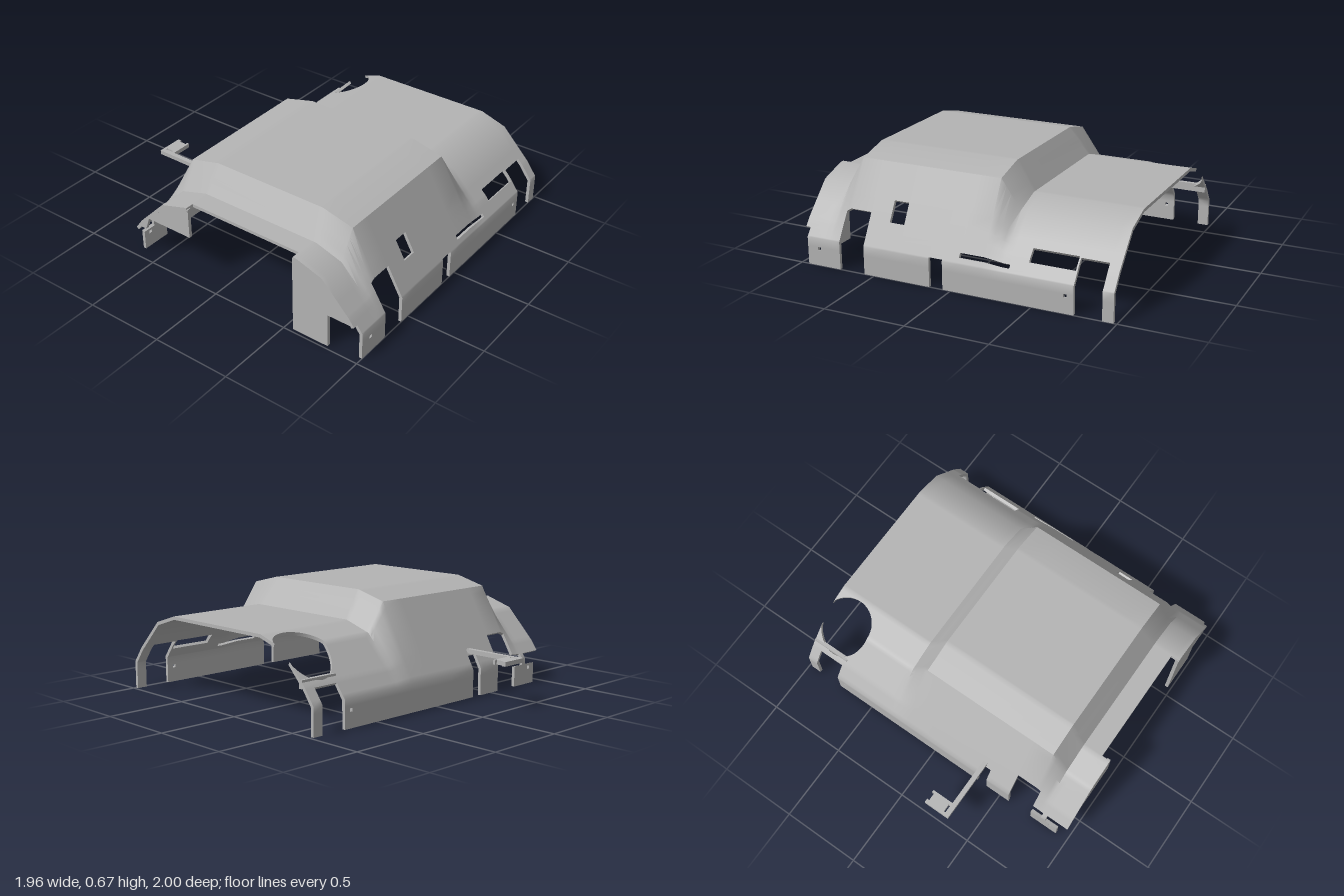
import * as THREE from 'three';
import { toCreasedNormals } from 'three/addons/utils/BufferGeometryUtils.js';

// Section coordinate u: 0..1.65 is depth from the front (1 - z); below and above it run down the two walls
const KNOTS = [-0.17, 0, 0.07, 0.25, 0.43, 1.21, 1.4, 1.58, 1.65, 1.82];
// Cross-sections as [z, y], one point per knot
const LOW = [[1, 0], [1, 0.17], [0.93, 0.265], [0.75, 0.45], [0.58, 0.505], [-0.22, 0.505], [-0.4, 0.45], [-0.58, 0.265], [-0.65, 0.17], [-0.65, 0]];
const LOW_IN = [[0.98, 0], [0.98, 0.162], [0.916, 0.25], [0.74, 0.432], [0.576, 0.485], [-0.216, 0.485], [-0.39, 0.432], [-0.566, 0.25], [-0.63, 0.162], [-0.63, 0]];
const HIGH = [[1, 0], [1, 0.17], [0.93, 0.296], [0.75, 0.62], [0.55, 0.67], [-0.2, 0.67], [-0.4, 0.62], [-0.58, 0.296], [-0.65, 0.17], [-0.65, 0]];
const HIGH_IN = [[0.98, 0], [0.98, 0.165], [0.912, 0.286], [0.737, 0.602], [0.548, 0.65], [-0.198, 0.65], [-0.387, 0.602], [-0.562, 0.286], [-0.63, 0.165], [-0.63, 0]];

// Rectangular openings: x0, x1, u0, u1
const CUTS = [
  [-0.73, -0.565, -0.17, 0.1], [0.75, 0.915, -0.17, 0.1], // front notches
  [-0.135, -0.05, -0.17, 0.005], [-0.98, -0.95, -0.17, 0.035],
  [-0.43, -0.335, 0.08, 0.143], // front window
  [0.05, 0.36, 0.018, 0.032], [0.465, 0.74, 0.05, 0.105], // front slots
  [-0.98, -0.925, 0.455, 1.2], // side recess
  [-0.73, -0.565, 1.555, 1.82], [-0.4, -0.33, 1.605, 1.82], [0.75, 0.915, 1.588, 1.82], // back notches
  [-0.98, -0.92, 1.63, 1.82], [-0.92, -0.835, 1.63, 1.69], [-0.805, -0.73, 1.63, 1.69], // around the hanging tab
  [0.75, 0.915, 1.235, 1.565], // round opening, see warp()
];
for (const x of [-0.87, 0.7]) for (const u of [-0.065, 1.715]) // screw holes
  CUTS.push([x - 0.01, x + 0.01, u - 0.01, u + 0.01]);

const CIRCLE = { x: 0.835, u: 1.4, r: 0.165 };

function sample(profile, u) {
  let i = 0;
  while (i < KNOTS.length - 2 && u > KNOTS[i + 1]) i++;
  const t = (u - KNOTS[i]) / (KNOTS[i + 1] - KNOTS[i]);
  return [0, 1].map(k => profile[i][k] + (profile[i + 1][k] - profile[i][k]) * t);
}

function surfacePoint([x, u], inner) {
  const h = THREE.MathUtils.clamp(Math.min((x + 0.8) / 0.1, (0.32 - x) / 0.12), 0, 1);
  const a = sample(inner ? LOW_IN : LOW, u), b = sample(inner ? HIGH_IN : HIGH, u);
  return [x, a[1] + (b[1] - a[1]) * h, a[0] + (b[0] - a[0]) * h];
}

// Pulls the grid columns onto the rim of the round opening
function warp(x, u) {
  const d = Math.abs(u - CIRCLE.u);
  if (x < 0.4 || d > CIRCLE.r + 1e-6) return [x, u];
  const w = Math.sqrt(Math.max(0, CIRCLE.r ** 2 - d * d));
  if (x === 0.75) return [CIRCLE.x - w, u];
  return [x < 0.75 ? Math.min(x, CIRCLE.x - w) : x < 0.95 ? Math.min(0.98, CIRCLE.x + w) : x, u];
}

const uniqueSorted = list => [...new Set(list.map(v => +v.toFixed(4)))].sort((a, b) => a - b);

function shellGeometry() {
  const cols = uniqueSorted([-0.98, -0.8, -0.775, -0.75, -0.725, -0.7, 0.2, 0.23, 0.26, 0.29, 0.32, 0.98, ...CUTS.flatMap(c => [c[0], c[1]])]);
  const rim = Array.from({ length: 25 }, (_, i) => CIRCLE.u - CIRCLE.r * Math.cos(i * Math.PI / 24));
  const rows = uniqueSorted([...KNOTS, ...rim, ...CUTS.flatMap(c => [c[2], c[3]])]);
  const key = p => p[0].toFixed(4) + ',' + p[1].toFixed(4);
  const tris = [], edges = new Map(), out = [];

  for (let i = 0; i < cols.length - 1; i++) for (let j = 0; j < rows.length - 1; j++) {
    const cx = (cols[i] + cols[i + 1]) / 2, cu = (rows[j] + rows[j + 1]) / 2;
    if (CUTS.some(c => cx > c[0] && cx < c[1] && cu > c[2] && cu < c[3])) continue;
    const a = warp(cols[i], rows[j]), b = warp(cols[i + 1], rows[j]);
    const c = warp(cols[i + 1], rows[j + 1]), d = warp(cols[i], rows[j + 1]);
    for (const t of [[a, b, c], [a, c, d]])
      if (new Set(t.map(key)).size === 3) tris.push(t);
  }
  const put = (p, inner) => out.push(...surfacePoint(p, inner));
  for (const t of tris) {
    t.forEach(p => put(p, false)); // outer skin
    [t[2], t[1], t[0]].forEach(p => put(p, true)); // inner skin
    for (let k = 0; k < 3; k++) edges.set(key(t[k]) + '|' + key(t[(k + 1) % 3]), [t[k], t[(k + 1) % 3]]);
  }
  // Close the sheet thickness along every open edge
  for (const [a, b] of edges.values()) {
    if (edges.has(key(b) + '|' + key(a))) continue;
    put(b, false); put(a, false); put(a, true);
    put(b, false); put(a, true); put(b, true);
  }
  const g = new THREE.BufferGeometry();
  g.setAttribute('position', new THREE.Float32BufferAttribute(out, 3));
  return toCreasedNormals(g, 0.7);
}

const polygon = pts => new THREE.Shape(pts.map(p => new THREE.Vector2(p[0], p[1])));

export function createModel() {
  const model = new THREE.Group();
  const grey = new THREE.MeshStandardMaterial({ color: 0xb4b4b4 });
  grey.name = 'plain grey';
  const add = (name, geometry) => {
    const mesh = new THREE.Mesh(geometry, grey);
    mesh.name = name;
    model.add(mesh);
    return mesh;
  };

  add('coverShell', shellGeometry());

  // Side plates, drawn as [z, y] and given thickness along x
  const sidePlate = (name, pts) => {
    const g = new THREE.ExtrudeGeometry(polygon(pts.map(([z, y]) => [-z, y])), { depth: 0.022, bevelEnabled: false });
    g.rotateY(Math.PI / 2);
    add(name, g).position.x = -0.979;
  };
  sidePlate('frontSidePlate', [[0.55, 0], [0.79, 0], [0.79, 0.217], [0.955, 0.217], [0.922, 0.26], [0.745, 0.44], [0.578, 0.495], [0.55, 0.495]]);
  sidePlate('backSidePlate', [[-0.2, 0.302], [-0.52, 0.302], [-0.55, 0.217], [-0.605, 0.217], [-0.572, 0.26], [-0.395, 0.44], [-0.218, 0.495], [-0.2, 0.495]]);

  // Bar below the round opening
  add('rearBar', new THREE.BoxGeometry(0.25, 0.05, 0.025)).position.set(0.855, 0.275, -0.547);

  // Rear arm with a slotted end plate, drawn as [x, -z]
  const arm = polygon([[-0.365, 0.59], [-0.335, 0.59], [-0.335, 0.91], [-0.195, 0.91], [-0.195, 0.925], [-0.21, 0.925],
    [-0.21, 0.975], [-0.195, 0.975], [-0.195, 1], [-0.365, 1]]);
  arm.holes.push(polygon([[-0.333, 0.93], [-0.333, 0.98], [-0.322, 0.98], [-0.322, 0.93]]));
  const armGeometry = new THREE.ExtrudeGeometry(arm, { depth: 0.027, bevelEnabled: false });
  armGeometry.rotateX(-Math.PI / 2);
  add('rearArm', armGeometry).position.y = 0.263;

  return model;
}
